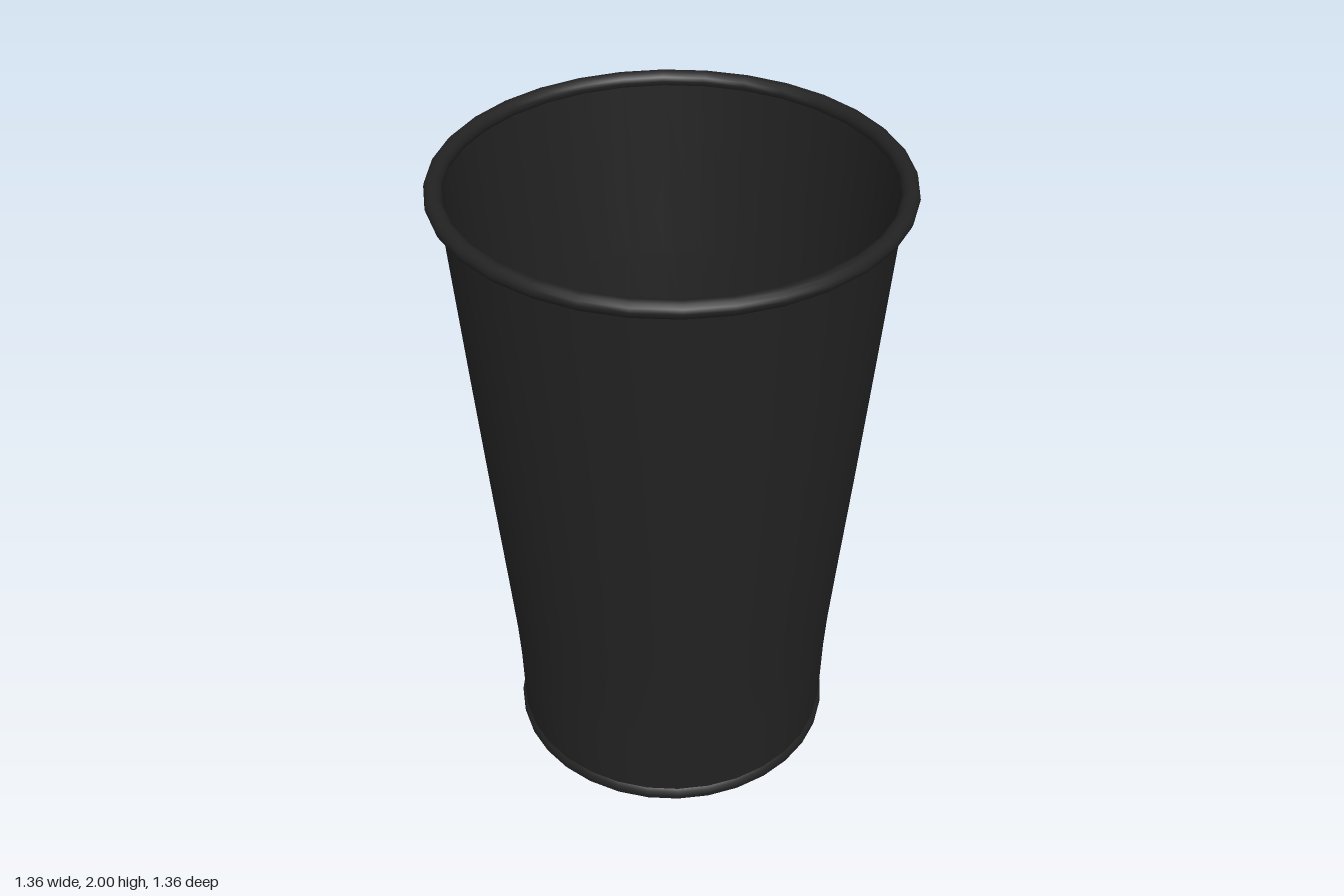
import * as THREE from 'three';
import { toCreasedNormals } from 'three/addons/utils/BufferGeometryUtils.js';

const SIDES = 32;

// Revolve a profile of [radius, height] pairs, keeping hard edges sharp
function revolve(name, profile, material) {
  const points = profile.map(([r, y]) => new THREE.Vector2(r, y));
  const geometry = toCreasedNormals(new THREE.LatheGeometry(points, SIDES), Math.PI / 4.5);
  const mesh = new THREE.Mesh(geometry, material);
  mesh.name = name;
  return mesh;
}

// Closed rounded bead of elliptical section around the cup
function bead(name, radius, y, halfWidth, halfHeight, material) {
  const profile = [];
  for (let i = 0; i <= 12; i++) {
    const a = (i / 12) * Math.PI * 2;
    profile.push([radius + Math.cos(a) * halfWidth, y + Math.sin(a) * halfHeight]);
  }
  return revolve(name, profile, material);
}

export function createModel() {
  const cup = new THREE.Group();
  cup.name = 'cup';
  const black = new THREE.MeshStandardMaterial({ color: 0x222222 });
  black.name = 'matte black';

  // Outer wall: nearly straight foot, then an even flare
  cup.add(revolve('outerWall', [
    [0.496, 0.05], [0.5, 0.12], [0.505, 0.3], [0.512, 0.42],
    [0.53, 0.63], [0.563, 1.0], [0.597, 1.4], [0.643, 1.96],
  ], black));

  // Inner wall, running downwards so that it faces the axis
  cup.add(revolve('innerWall', [
    [0.635, 1.97], [0.588, 1.4], [0.554, 1.0], [0.521, 0.63],
    [0.503, 0.42], [0.496, 0.3], [0.49, 0.12], [0.487, 0.05],
  ], black));

  // Base disc with a small hole through its centre
  cup.add(revolve('base', [
    [0.013, 0.02], [0.485, 0.02], [0.497, 0.022], [0.505, 0.032],
    [0.507, 0.045], [0.504, 0.06], [0.495, 0.07], [0.487, 0.06],
    [0.475, 0.052], [0.013, 0.05], [0.013, 0.02],
  ], black));

  // Moulding nub under the base, open along the axis
  cup.add(revolve('baseNub', [
    [0.013, 0.0], [0.016, 0.002], [0.021, 0.012], [0.023, 0.024],
    [0.013, 0.024], [0.013, 0.0],
  ], black));

  // Rolled lip
  cup.add(bead('rolledRim', 0.655, 1.975, 0.026, 0.025, black));

  return cup;
}
